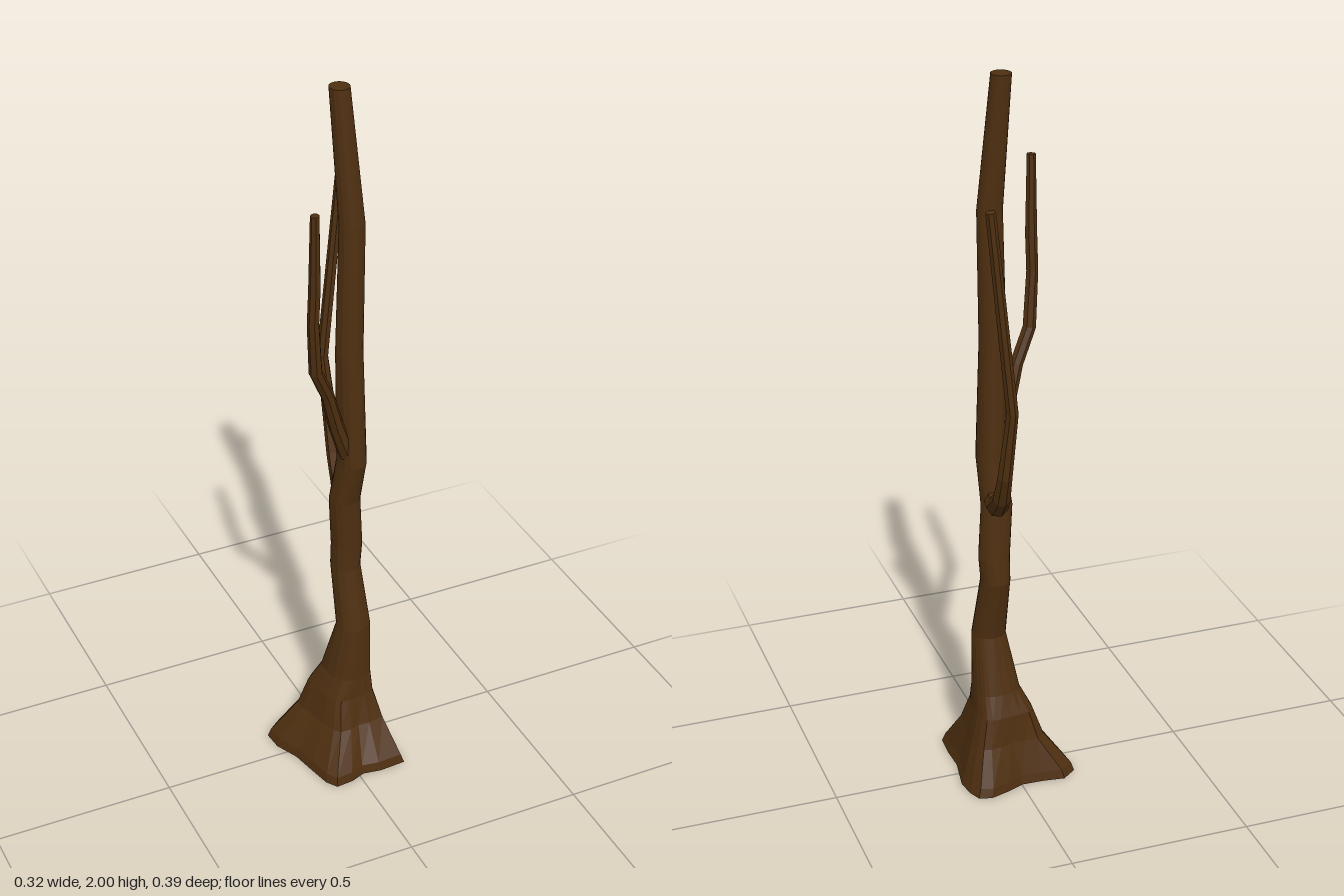
import * as THREE from 'three';

// Skin a stack of equal-length point rings, closed at both ends
function loft(rings, material, name) {
  const n = rings[0].length, pos = [];
  const tri = (...pts) => pts.forEach((p) => pos.push(p.x, p.y, p.z));
  const middle = (ring) => ring.reduce((s, p) => s.add(p), new THREE.Vector3()).divideScalar(n);
  const last = rings[rings.length - 1], low = middle(rings[0]), high = middle(last);
  for (let i = 0; i < n; i++) {
    const j = (i + 1) % n;
    for (let k = 0; k < rings.length - 1; k++) {
      const a = rings[k], b = rings[k + 1];
      tri(a[i], b[i], a[j]);
      tri(a[j], b[i], b[j]);
    }
    tri(low, rings[0][i], rings[0][j]);
    tri(high, last[j], last[i]);
  }
  const geometry = new THREE.BufferGeometry();
  geometry.setAttribute('position', new THREE.Float32BufferAttribute(pos, 3));
  geometry.computeVertexNormals();
  const mesh = new THREE.Mesh(geometry, material);
  mesh.name = name;
  return mesh;
}

// Tapered limb along a list of [x, y, z, radius]
function limb(path, material, name, sides = 7) {
  const pts = path.map(([x, y, z]) => new THREE.Vector3(x, y, z));
  const rings = pts.map((p, k) => {
    const before = pts[Math.max(k - 1, 0)], after = pts[Math.min(k + 1, pts.length - 1)];
    const d = after.clone().sub(before).normalize();
    const u = new THREE.Vector3(1, 0, 0).addScaledVector(d, -d.x).normalize();
    const w = u.clone().cross(d);
    return Array.from({ length: sides }, (_, i) => {
      const t = (i / sides) * Math.PI * 2, r = path[k][3];
      return p.clone().addScaledVector(u, r * Math.cos(t)).addScaledVector(w, r * Math.sin(t));
    });
  });
  return loft(rings, material, name);
}

export function createModel() {
  const bark = new THREE.MeshStandardMaterial({ color: 0x4e2f10, flatShading: true });
  bark.name = 'dark brown bark';
  const tree = new THREE.Group();
  tree.name = 'bareTree';

  // Outline of the spreading roots on the ground [x, z]
  const foot = [
    [-0.16, -0.09], [-0.12, -0.12], [-0.06, -0.112], [0, -0.11], [0.05, -0.13], [0.1, -0.145],
    [0.135, -0.135], [0.15, -0.1], [0.157, -0.05], [0.148, 0], [0.14, 0.045], [0.143, 0.11],
    [0.14, 0.178], [0.065, 0.183], [0.015, 0.175], [-0.025, 0.19], [-0.075, 0.195],
    [-0.095, 0.165], [-0.11, 0.1], [-0.125, 0.03], [-0.155, -0.035],
  ].map(([x, z]) => [x / 0.1585, (z - 0.025) / 0.17]);

  // Trunk levels: height, x range, z range, how much of the root outline remains
  const levels = [
    [0, -0.16, 0.157, -0.145, 0.195, 1],
    [0.025, -0.152, 0.148, -0.138, 0.188, 1],
    [0.12, -0.085, 0.122, -0.097, 0.12, 0.75],
    [0.2, -0.06, 0.105, -0.08, 0.092, 0.5],
    [0.26, -0.03, 0.1, -0.055, 0.082, 0.3],
    [0.42, 0, 0.095, -0.012, 0.075, 0],
    [0.6, 0, 0.08, -0.05, 0.04, 0],
    [0.67, 0, 0.085, -0.045, 0.04, 0],
    [0.82, -0.01, 0.075, -0.035, 0.045, 0],
    [0.95, 0.005, 0.08, -0.022, 0.075, 0],
    [1.28, 0, 0.072, -0.015, 0.06, 0],
    [1.64, 0.01, 0.078, -0.012, 0.05, 0],
    [2, -0.003, 0.05, -0.04, 0.015, 0],
  ];
  const trunk = levels.map(([y, x0, x1, z0, z1, roots]) => foot.map(([fx, fz]) => {
    const a = Math.atan2(fz, fx);
    const px = THREE.MathUtils.lerp(Math.cos(a), fx, roots);
    const pz = THREE.MathUtils.lerp(Math.sin(a), fz, roots);
    return new THREE.Vector3((x0 + x1) / 2 + px * (x1 - x0) / 2, y, (z0 + z1) / 2 + pz * (z1 - z0) / 2);
  }));
  tree.add(loft(trunk, bark, 'trunk'));

  // Branch leaning to the front
  tree.add(limb([
    [0.025, 0.98, 0.035, 0.024], [-0.012, 1.08, 0.048, 0.021], [-0.045, 1.19, 0.066, 0.018],
    [-0.087, 1.28, 0.085, 0.018], [-0.1, 1.43, 0.1, 0.016], [-0.099, 1.53, 0.107, 0.016],
    [-0.103, 1.74, 0.119, 0.012],
  ], bark, 'frontBranch'));

  // Branch elbowing out behind
  tree.add(limb([
    [0.035, 0.845, -0.005, 0.035], [0.05, 0.845, -0.055, 0.03], [0.057, 0.89, -0.105, 0.024],
    [0.06, 0.97, -0.14, 0.02], [0.05, 1.16, -0.17, 0.016], [0.111, 1.71, -0.184, 0.0135],
  ], bark, 'backBranch'));

  return tree;
}
